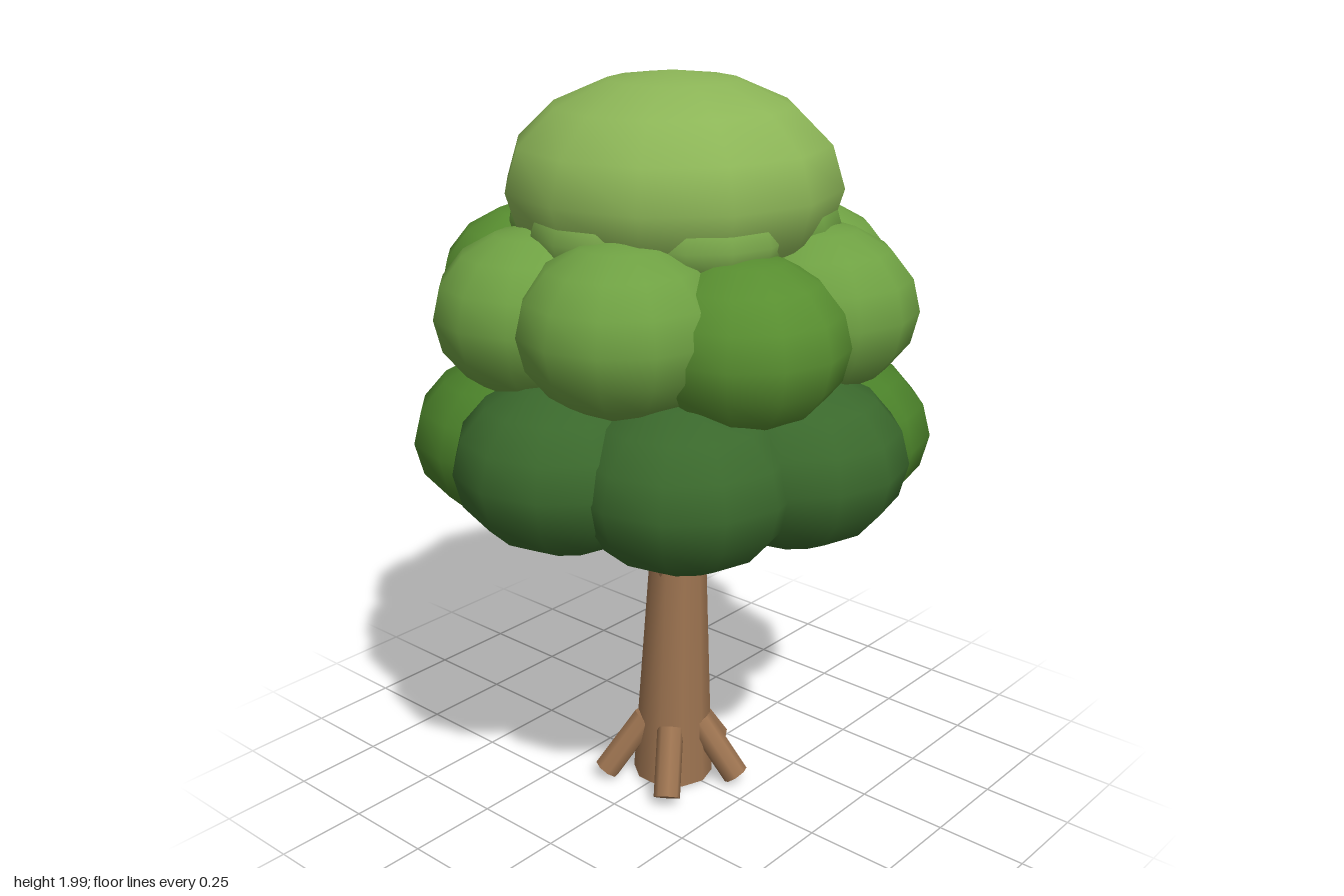
import * as THREE from 'three';

const mat = (color) => new THREE.MeshStandardMaterial({ color });
const bark = mat(0x9c7350);
const green = {
  deep: mat(0x3a682c),
  dark: mat(0x4a8029),
  mid: mat(0x588e30),
  light: mat(0x6fa143),
  pale: mat(0x7dac4d),
  crown: mat(0x8cb557),
};

// Tapered round limb running from point a to point b
function limb(name, a, b, ra, rb, sides) {
  const from = new THREE.Vector3(...a), to = new THREE.Vector3(...b);
  const dir = to.clone().sub(from);
  const mesh = new THREE.Mesh(new THREE.CylinderGeometry(rb, ra, dir.length(), sides), bark);
  mesh.position.copy(from).add(to).multiplyScalar(0.5);
  mesh.quaternion.setFromUnitVectors(new THREE.Vector3(0, 1, 0), dir.normalize());
  mesh.name = name;
  return mesh;
}

// Flattened ball of leaves
const ball = new THREE.SphereGeometry(1, 12, 8);
function puff(name, x, y, z, r, ry, material) {
  const mesh = new THREE.Mesh(ball, material);
  mesh.position.set(x, y, z);
  mesh.scale.set(r, ry, r);
  mesh.name = name;
  return mesh;
}

// Ring of leaf balls; tones and heights are listed from +x towards +z
function ring(name, start, radius, r, ry, heights, tones) {
  const group = new THREE.Group();
  group.name = name;
  tones.forEach((tone, i) => {
    const t = start + (i / tones.length) * Math.PI * 2;
    group.add(puff(name + 'Puff', Math.cos(t) * radius, heights[i % heights.length],
      Math.sin(t) * radius, r, ry, green[tone]));
  });
  return group;
}

export function createModel() {
  const tree = new THREE.Group();
  tree.name = 'tree';

  // Trunk, leaning slightly
  tree.add(limb('trunk', [0, 0.015, 0], [0.022, 0.69, 0], 0.113, 0.078, 10));

  // Five roots splayed around the base
  for (let i = 0; i < 5; i++) {
    const t = (i / 5) * Math.PI * 2, c = Math.cos(t), s = Math.sin(t);
    tree.add(limb('root', [c * 0.195, 0.036, s * 0.195], [c * 0.08, 0.19, s * 0.08], 0.037, 0.037, 8));
  }

  // Three branches reaching into the leaves
  tree.add(limb('branch', [0.025, 0.6, 0], [0.18, 1.0, 0.01], 0.055, 0.043, 8));
  tree.add(limb('branch', [0.015, 0.6, 0], [0.05, 1.0, -0.16], 0.055, 0.043, 8));
  tree.add(limb('branch', [0.01, 0.6, 0], [-0.095, 1.0, 0.02], 0.055, 0.043, 8));

  // Foliage tiers from bottom to top
  tree.add(ring('lowerFoliage', 0, 0.4, 0.29, 0.225,
    [1.06, 1.05, 1.08, 1.07, 1.08, 1.06, 1.08, 1.07],
    ['dark', 'dark', 'deep', 'deep', 'deep', 'dark', 'deep', 'deep']));
  tree.add(ring('middleFoliage', Math.PI / 8, 0.38, 0.26, 0.215,
    [1.43, 1.43, 1.4, 1.44],
    ['light', 'light', 'mid', 'light', 'light', 'mid', 'light', 'light']));
  tree.add(ring('upperFoliage', 0, 0.215, 0.215, 0.145, [1.63],
    ['pale', 'light', 'pale', 'pale', 'light', 'pale']));
  tree.add(puff('crown', 0, 1.72, 0, 0.435, 0.28, green.crown));

  return tree;
}
